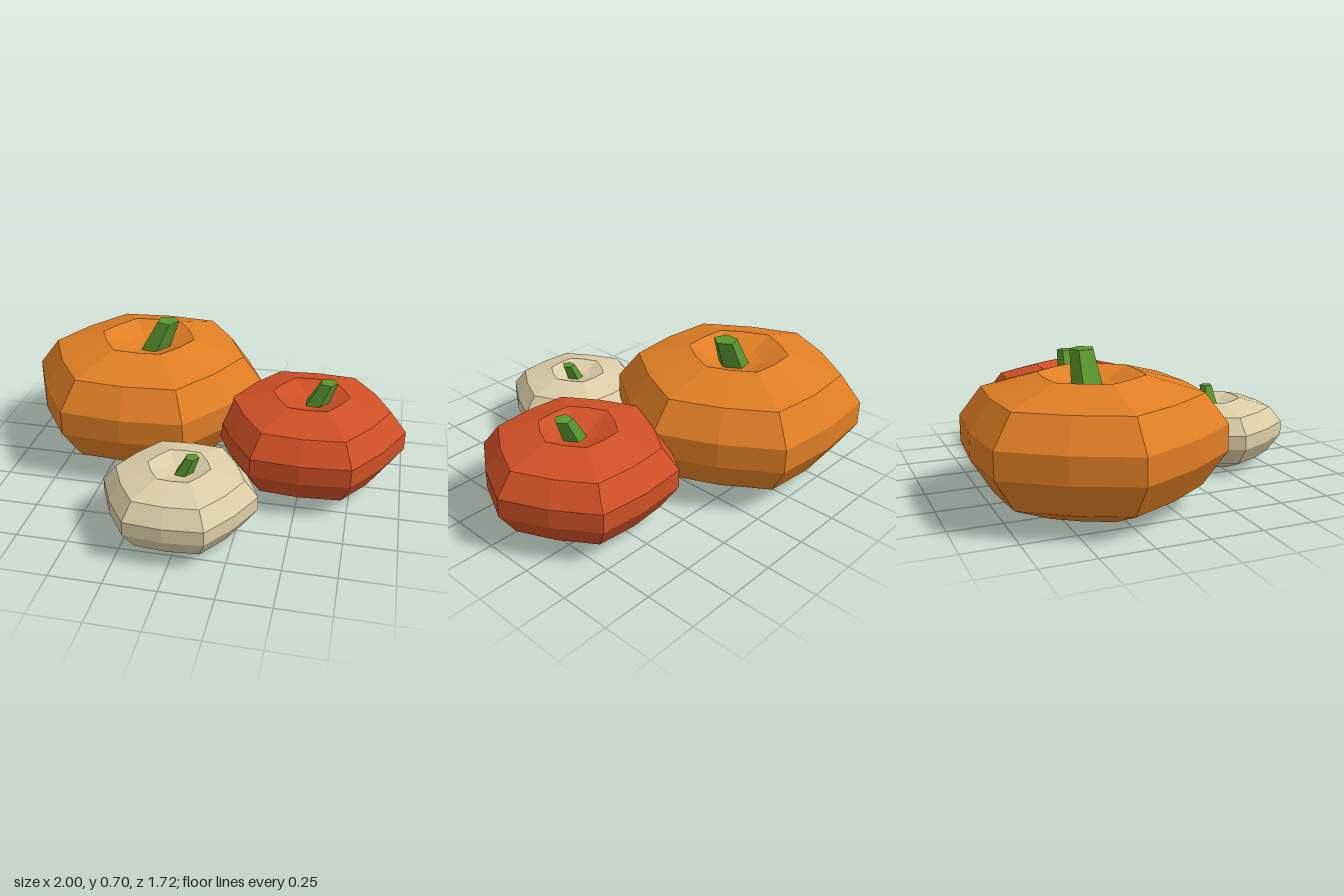
import * as THREE from 'three';

// Faceted copy of a geometry with one normal per face
function faceted(geometry) {
  const flat = geometry.index ? geometry.toNonIndexed() : geometry;
  flat.computeVertexNormals();
  return flat;
}

// Squat ribbed body: a 12-sided lathe with six ridges and a dimple on top
function bodyGeometry() {
  const profile = [
    [0, 0], [0.295, 0], [0.51, 0.1], [0.622, 0.265], [0.622, 0.39],
    [0.515, 0.53], [0.25, 0.605], [0.125, 0.555], [0, 0.53],
  ].map(([r, y]) => new THREE.Vector2(r, y));
  const geometry = new THREE.LatheGeometry(profile, 12);
  const p = geometry.attributes.position;
  for (let i = 0; i < p.count; i++) {
    const x = p.getX(i), z = p.getZ(i);
    const rib = 1 - 0.0455 * (1 - Math.cos(6 * Math.atan2(z, x)));
    p.setX(i, x * rib);
    p.setZ(i, z * rib);
  }
  return faceted(geometry);
}

// Five-sided tapered stem, sheared toward +x
function stemGeometry() {
  const height = 0.17;
  const geometry = new THREE.CylinderGeometry(0.06, 0.08, height, 5);
  geometry.rotateY(Math.PI / 2); // a corner points along +x
  geometry.translate(0, height / 2, 0);
  const p = geometry.attributes.position;
  for (let i = 0; i < p.count; i++) {
    p.setX(i, p.getX(i) + 0.03 + (0.08 * p.getY(i)) / height);
  }
  geometry.translate(0, 0.53, 0);
  return faceted(geometry);
}

function material(name, color) {
  const m = new THREE.MeshStandardMaterial({ color });
  m.name = name;
  return m;
}

export function createModel() {
  const model = new THREE.Group();
  model.name = 'pumpkins';
  const body = bodyGeometry();
  const stem = stemGeometry();
  const green = material('stem green', 0x5a9630);

  // name, skin, x, z, width scale, height scale
  const pumpkins = [
    ['largePumpkin', material('orange skin', 0xe07e24), -0.378, -0.293, 1, 1],
    ['mediumPumpkin', material('red skin', 0xd05026), 0.52, -0.08, 0.77, 0.76],
    ['smallPumpkin', material('cream skin', 0xdccda6), -0.015, 0.522, 0.593, 0.56],
  ];

  for (const [name, skin, x, z, width, height] of pumpkins) {
    const pumpkin = new THREE.Group();
    pumpkin.name = name;
    const bodyMesh = new THREE.Mesh(body, skin);
    bodyMesh.name = 'body';
    bodyMesh.scale.set(width, height, width);
    const stemMesh = new THREE.Mesh(stem, green);
    stemMesh.name = 'stem';
    stemMesh.scale.setScalar(height);
    pumpkin.add(bodyMesh, stemMesh);
    pumpkin.position.set(x, 0, z);
    model.add(pumpkin);
  }
  return model;
}
